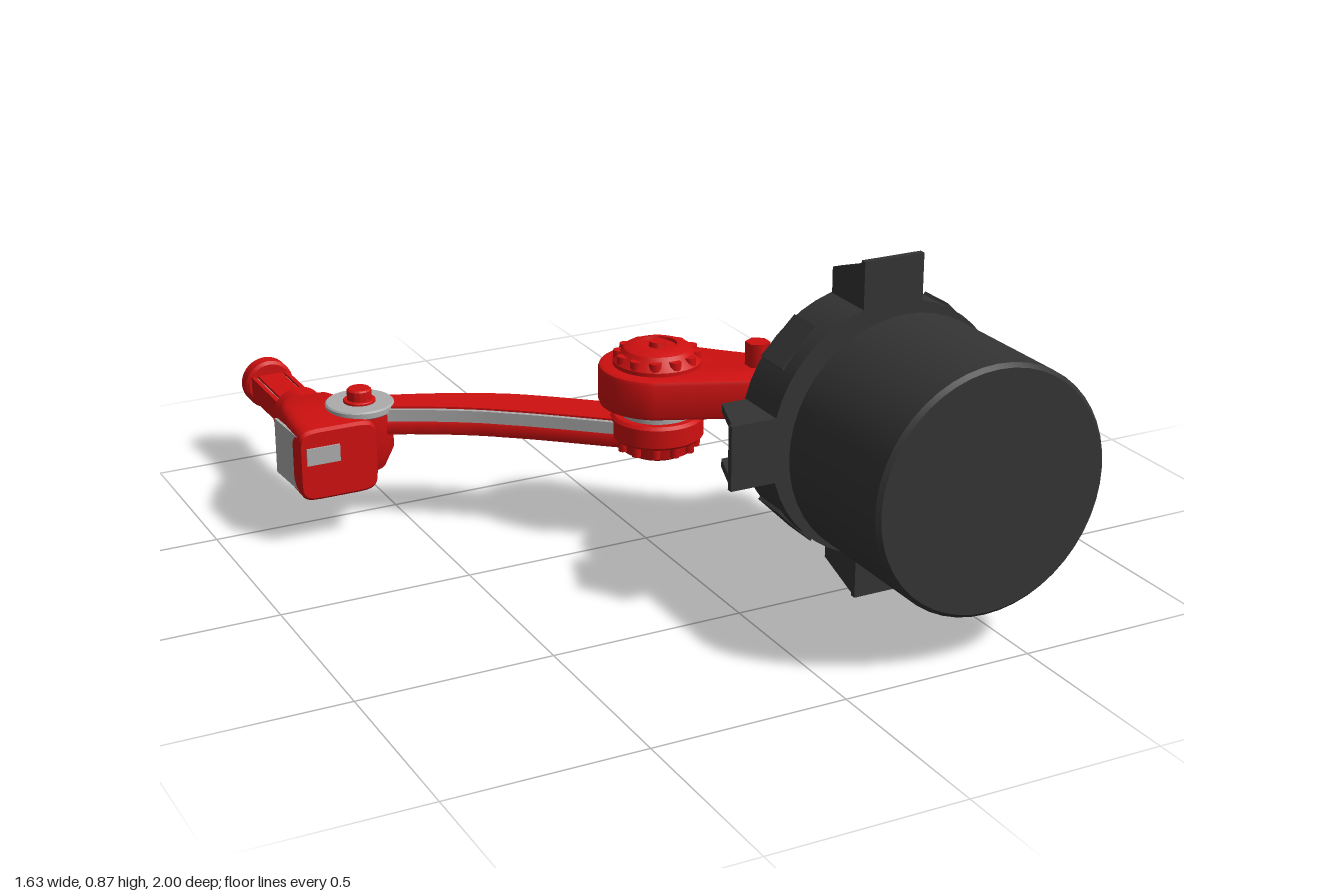
import * as THREE from 'three';
import { toCreasedNormals } from 'three/addons/utils/BufferGeometryUtils.js';

const red = new THREE.MeshStandardMaterial({ color: 0xd01010 });
red.name = 'red paint';
const dark = new THREE.MeshStandardMaterial({ color: 0x343434 });
dark.name = 'dark casing';
const grey = new THREE.MeshStandardMaterial({ color: 0xacacac });
grey.name = 'light grey metal';

export function createModel() {
  const root = new THREE.Group();
  root.name = 'robotArm';

  const group = (name, x, y, z) => {
    const g = new THREE.Group();
    g.name = name;
    g.position.set(x, y, z);
    root.add(g);
    return g;
  };
  const add = (parent, name, geo, mat, x = 0, y = 0, z = 0) => {
    const m = new THREE.Mesh(geo, mat);
    m.name = name;
    m.position.set(x, y, z);
    parent.add(m);
    return m;
  };
  // Turned part; profile is [radius, height] from low to high
  const turned = (pts, alongZ = false) => {
    const g = new THREE.LatheGeometry(pts.map(p => new THREE.Vector2(p[0], p[1])), 48);
    if (alongZ) g.rotateX(Math.PI / 2);
    return toCreasedNormals(g, 0.5);
  };
  const disc = (r, a, b, e = 0.006) => [[0, a], [r - e, a], [r, a + e], [r, b - e], [r - e, b], [0, b]];
  // Slab cut from a plan outline (x, -z), between two heights
  const slab = (shape, y0, y1, bevel = 0) => {
    const g = new THREE.ExtrudeGeometry(shape, {
      depth: y1 - y0 - 2 * bevel, bevelEnabled: bevel > 0, bevelSize: bevel,
      bevelThickness: bevel, bevelOffset: -bevel, bevelSegments: 2, curveSegments: 24 });
    g.rotateX(-Math.PI / 2).translate(0, y0 + bevel, 0);
    return toCreasedNormals(g, 0.6);
  };

  // Base: drum, ring and flange, all turned about z
  const base = group('base', 0.378, 0.437, 0);
  add(base, 'drum', turned(disc(0.311, 0.6, 1, 0.01), true), dark);
  add(base, 'drumNeck', turned([[0.265, 0.575], [0.265, 0.585], [0.25, 0.605]], true), dark);
  add(base, 'baseRing', turned(disc(0.265, 0.54, 0.577), true), grey);
  add(base, 'flange', turned([[0, 0.365], [0.218, 0.365], [0.235, 0.385], [0.252, 0.385], [0.256, 0.392],
    [0.318, 0.392], [0.327, 0.405], [0.327, 0.555], [0, 0.555]], true), dark);
  // Mounting feet: a plate and two gussets at each quarter
  const gusset = new THREE.Shape([[0.3, -0.555], [0.432, -0.555], [0.425, -0.53], [0.383, -0.41], [0.3, -0.41]]
    .map(p => new THREE.Vector2(...p)));
  for (let i = 0; i < 4; i++) {
    const foot = new THREE.Group();
    foot.name = 'mountingFoot';
    foot.rotation.z = i * Math.PI / 2;
    base.add(foot);
    add(foot, 'footPlate', new THREE.BoxGeometry(0.135, 0.165, 0.016), dark, 0.3685, 0, 0.547);
    add(foot, 'footBlock', new THREE.BoxGeometry(0.06, 0.165, 0.14), dark, 0.31, 0, 0.482);
    for (const y of [-0.0825, 0.0605]) add(foot, 'footGusset', slab(gusset, y, y + 0.022), dark);
    const pad = add(foot, 'flangePad', new THREE.BoxGeometry(0.03, 0.13, 0.1), dark, 0.222, 0.222, 0.46);
    pad.rotation.z = Math.PI / 4;
  }

  // Turntable
  add(base, 'turntableShaft', turned(disc(0.033, 0.33, 0.37, 0.002), true), dark);
  add(base, 'lowerPlate', turned(disc(0.185, 0.318, 0.341), true), grey);
  add(base, 'turntable', turned(disc(0.197, 0.258, 0.327, 0.014), true), red);
  add(base, 'upperPlate', turned(disc(0.172, 0.21, 0.262), true), grey);

  // Shoulder link with rounded end
  const link = new THREE.Shape();
  link.moveTo(0.235, -0.235);
  link.lineTo(0.43, -0.21);
  link.lineTo(0.545, -0.21);
  link.lineTo(0.545, -0.15);
  link.lineTo(0.445, -0.15);
  link.quadraticCurveTo(0.31, -0.06, 0.16, 0.115);
  link.absarc(0.042, 0.018, 0.152, 0.69, 4.2, false);
  link.lineTo(0.21, -0.22);
  link.closePath();
  add(root, 'shoulderLink', slab(link, 0.372, 0.478, 0.012), red);
  add(root, 'linkBolt', new THREE.CylinderGeometry(0.032, 0.032, 0.08, 6), red, 0.26, 0.5, 0.115);

  // Elbow joint: toothed caps above and below, washer between
  const elbow = group('elbowJoint', 0.042, 0, -0.018);
  add(elbow, 'upperCap', turned([[0.115, 0.47], [0.115, 0.488], [0.098, 0.505], [0.086, 0.52], [0.06, 0.53],
    [0.05, 0.53], [0.048, 0.522], [0.022, 0.522], [0.02, 0.535], [0, 0.535]]), red);
  add(elbow, 'washer', turned(disc(0.095, 0.33, 0.376, 0.003)), grey);
  add(elbow, 'jointDrum', turned(disc(0.12, 0.278, 0.342, 0.008)), red);
  add(elbow, 'lowerCap', turned([[0, 0.233], [0.07, 0.233], [0.092, 0.245], [0.1, 0.285]]), red);
  for (let i = 0; i < 12; i++) {
    const a = i * Math.PI / 6;
    const x = Math.cos(a), z = Math.sin(a);
    add(elbow, 'upperTooth', new THREE.CylinderGeometry(0.016, 0.018, 0.04, 10), red, x * 0.097, 0.49, z * 0.097);
    add(elbow, 'lowerTooth', new THREE.CylinderGeometry(0.014, 0.012, 0.03, 10), red, x * 0.098, 0.266, z * 0.098);
  }

  // Curved arm: red beam, grey band and inset red top
  const path = new THREE.CatmullRomCurve3([[-0.61, 0.447], [-0.53, 0.422], [-0.3, 0.303], [-0.045, 0.095], [0.042, 0.018]]
    .map(p => new THREE.Vector3(p[0], p[1], 0)));
  const armShape = inset => {
    const near = [], far = [];
    for (let i = 0; i <= 24; i++) {
      const t = i / 24, p = path.getPointAt(t), d = path.getTangentAt(t);
      const w = 0.054 + 0.018 * Math.min(1, t * 2) - inset;
      near.push(new THREE.Vector2(p.x + d.y * w, p.y - d.x * w));
      far.unshift(new THREE.Vector2(p.x - d.y * w, p.y + d.x * w));
    }
    return new THREE.Shape([...near, ...far]);
  };
  add(root, 'armBeam', slab(armShape(0), 0.258, 0.298, 0.008), red);
  add(root, 'armBand', slab(armShape(0.002), 0.296, 0.328), grey);
  add(root, 'armTop', slab(armShape(0.014), 0.327, 0.333), red);

  // Wrist pivot
  const wrist = group('wristPivot', -0.61, 0, -0.447);
  add(wrist, 'pivotHub', turned([[0, 0.16], [0.062, 0.16], [0.085, 0.21], [0.087, 0.318], [0, 0.318]]), red);
  add(wrist, 'pivotWasher', turned(disc(0.09, 0.316, 0.338, 0.004)), grey);
  add(wrist, 'pivotCollar', turned(disc(0.042, 0.335, 0.345, 0.002)), red);
  add(wrist, 'pivotPin', turned(disc(0.032, 0.34, 0.374, 0.004)), red);

  // Wrist housing lofted along z from rounded rectangles: z, x0, x1, y0, y1
  const sections = [[-0.34, -0.812, -0.607, 0.135, 0.315], [-0.35, -0.815, -0.603, 0.127, 0.322],
    [-0.45, -0.811, -0.6, 0.124, 0.328], [-0.53, -0.802, -0.602, 0.124, 0.326],
    [-0.6, -0.782, -0.61, 0.128, 0.31], [-0.655, -0.758, -0.614, 0.145, 0.297]];
  const N = 32, pos = [], idx = [];
  const ring = ([z, x0, x1, y0, y1], s) => {
    for (let j = 0; j < N; j++) {
      const a = (j + 0.5) / N * Math.PI * 2, c = Math.cos(a), n = Math.sin(a);
      pos.push((x0 + x1) / 2 + s * (x1 - x0) / 2 * Math.sign(c) * Math.abs(c) ** 0.3,
        (y0 + y1) / 2 + s * (y1 - y0) / 2 * Math.sign(n) * Math.abs(n) ** 0.3, z);
    }
  };
  ring(sections[0], 0);
  sections.forEach(s => ring(s, 1));
  ring(sections[sections.length - 1], 0);
  for (let i = 0; i <= sections.length; i++) {
    for (let j = 0; j < N; j++) {
      const a = i * N + j, b = i * N + (j + 1) % N;
      idx.push(a, a + N, b, b, a + N, b + N);
    }
  }
  const housing = new THREE.BufferGeometry();
  housing.setAttribute('position', new THREE.Float32BufferAttribute(pos, 3));
  housing.setIndex(idx);
  add(root, 'wristHousing', toCreasedNormals(housing, 0.5), red);
  add(root, 'frontPanel', new THREE.BoxGeometry(0.09, 0.046, 0.008), grey, -0.753, 0.252, -0.339);
  const side = add(root, 'sidePanel', new THREE.BoxGeometry(0.008, 0.15, 0.17), grey, -0.8105, 0.225, -0.437);
  side.rotation.y = 0.05;

  // Wrist collar, grooved shaft and tool flange
  const tool = group('toolShaft', -0.685, 0.225, 0);
  add(tool, 'wristCollar', turned(disc(0.072, -0.73, -0.64, 0.01), true), red);
  add(tool, 'shaftCore', new THREE.BoxGeometry(0.068, 0.064, 0.24), red, 0, 0, -0.84);
  add(tool, 'shaftGroove', new THREE.BoxGeometry(0.088, 0.05, 0.24), grey, 0, 0, -0.84);
  for (const s of [-1, 1]) {
    add(tool, 'shaftRail', new THREE.BoxGeometry(0.012, 0.062, 0.24), red, s * 0.047, 0, -0.84);
  }
  add(tool, 'toolFlange', turned([[0, -0.965], [0.03, -0.965], [0.03, -0.995], [0.035, -1], [0.062, -1],
    [0.068, -0.994], [0.068, -0.958], [0.06, -0.95], [0, -0.95]], true), red);

  return root;
}
